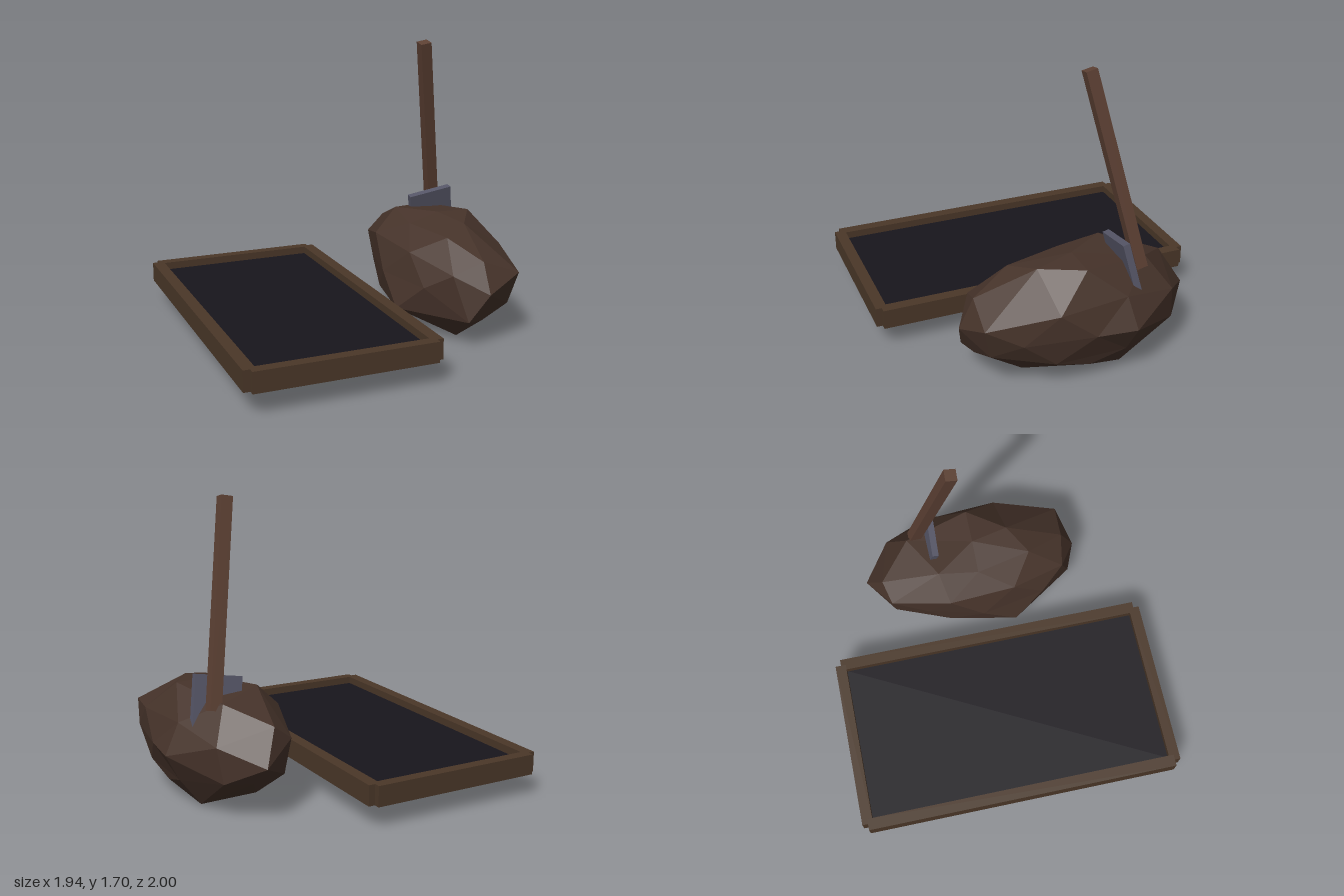
import * as THREE from 'three';

const mat = (color) => new THREE.MeshStandardMaterial({ color, flatShading: true });
const wood = mat(0x4a3728), handleWood = mat(0x5c4033), earth = mat(0x46332a);
const metal = mat(0x555566), dark = mat(0x18151c);

function box(name, size, pos, material) {
  const mesh = new THREE.Mesh(new THREE.BoxGeometry(...size), material);
  mesh.name = name;
  mesh.position.set(...pos);
  return mesh;
}

// Wooden frame around a dark sunken bed
function createPit() {
  const pit = new THREE.Group();
  pit.name = 'pit';
  pit.position.set(-0.42, 0.19, 0);
  for (const s of [-1, 1]) {
    pit.add(box('sideRail', [0.07, 0.118, 1.93], [s * 0.518, 0, 0], wood));
    pit.add(box('endRail', [1.03, 0.118, 0.066], [0, 0, s * 0.967], wood));
  }
  pit.add(box('darkBed', [0.99, 0.072, 1.9], [0, -0.022, 0], dark));
  return pit;
}

// Faceted heap: a stretched icosphere whose nearest corners are pulled to the lumps
function createMound() {
  const centre = new THREE.Vector3(0.59, 0.33, 0);
  const radius = new THREE.Vector3(0.36, 0.33, 0.68);
  const lumps = [
    // front
    [0.59, 0.33, 0.665], [0.48, 0.515, 0.635], [0.48, 0.165, 0.62], [0.815, 0.42, 0.595], [0.39, 0.24, 0.535],
    // left and right flanks
    [0.88, 0.32, 0.4], [0.915, 0.48, 0.2], [0.97, 0.325, -0.235], [0.86, 0.1, 0],
    [0.3, 0.33, 0.4], [0.215, 0.16, 0.21], [0.225, 0.33, 0], [0.268, 0.515, -0.205], [0.32, 0.33, -0.36],
    // back
    [0.59, 0.33, -0.705], [0.8, 0.43, -0.53], [0.375, 0.43, -0.565], [0.495, 0.52, -0.6], [0.59, 0.2, -0.54],
    // top and underside
    [0.42, 0.655, -0.245], [0.65, 0.64, 0.23], [0.8, 0.66, 0], [0.7, 0.62, -0.4], [0.59, 0.665, 0],
    [0.53, 0.002, 0.38], [0.765, 0.01, -0.23], [0.4, 0.075, 0], [0.59, 0.01, 0],
  ].map((p) => {
    const point = new THREE.Vector3(...p);
    return { point, unit: point.clone().sub(centre).divide(radius) };
  });
  const geo = new THREE.IcosahedronGeometry(1, 1);
  const pos = geo.attributes.position;
  const v = new THREE.Vector3();
  for (let i = 0; i < pos.count; i++) {
    v.fromBufferAttribute(pos, i);
    const lump = lumps.find((l) => l.unit.distanceTo(v) < 0.305);
    if (lump) v.copy(lump.point);
    else v.multiply(radius).add(centre);
    pos.setXYZ(i, v.x, v.y, v.z);
  }
  geo.computeVertexNormals();
  const mound = new THREE.Mesh(geo, earth);
  mound.name = 'earthMound';
  return mound;
}

// Shovel stuck into the heap, handle and blade sharing one tilt
function createShovel() {
  const shovel = new THREE.Group();
  shovel.name = 'shovel';
  shovel.add(box('handle', [0.067, 1.16, 0.067], [0.635, 1.135, -0.232], handleWood));
  shovel.add(box('blade', [0.28, 0.3, 0.04], [0.68, 0.595, -0.27], metal));
  shovel.children.forEach((part) => part.rotation.set(0.214, 0, 0.171));
  return shovel;
}

export function createModel() {
  const model = new THREE.Group();
  model.name = 'pitWithMoundAndShovel';
  model.add(createPit(), createMound(), createShovel());
  return model;
}
